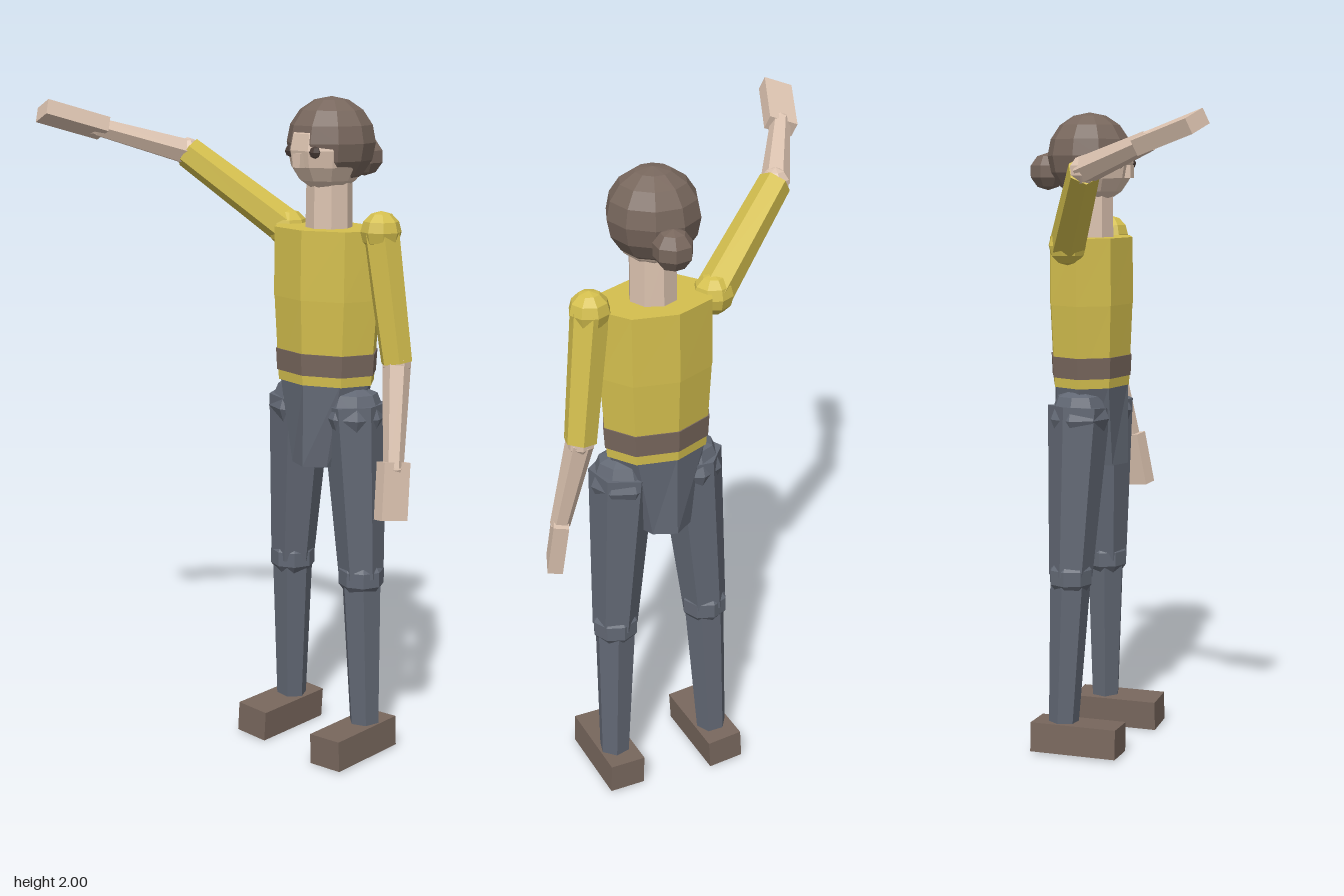
import * as THREE from 'three';

const mat = (color) => new THREE.MeshStandardMaterial({ color, flatShading: true });
const V = (x, y, z) => new THREE.Vector3(x, y, z);

export function createModel() {
  const model = new THREE.Group();
  const yellow = mat(0xd4bf4e), brown = mat(0x78675d), blue = mat(0x626874);
  const skin = mat(0xdcc3b0), dark = mat(0x4a3d38);

  const add = (name, geometry, material, pos, parent = model) => {
    const mesh = new THREE.Mesh(geometry, material);
    mesh.name = name;
    mesh.position.copy(pos);
    parent.add(mesh);
    return mesh;
  };
  const ball = (name, r, material, pos, parent, w = 8, h = 6) =>
    add(name, new THREE.SphereGeometry(r, w, h), material, pos, parent);

  // Tapered limb between two joints
  const limb = (name, a, b, ra, rb, material) => {
    const d = b.clone().sub(a);
    const mesh = add(name, new THREE.CylinderGeometry(rb, ra, d.length(), 6), material,
      a.clone().add(b).multiplyScalar(0.5));
    mesh.quaternion.setFromUnitVectors(V(0, 1, 0), d.normalize());
  };

  // Elliptical eight-sided body section, radii given at its top and bottom
  const section = (name, y0, y1, bottom, top, material) => {
    const g = new THREE.CylinderGeometry(1, 1, y1 - y0, 8);
    const p = g.attributes.position;
    for (let i = 0; i < p.count; i++) {
      const r = p.getY(i) > 0 ? top : bottom;
      p.setXYZ(i, p.getX(i) * r[0], p.getY(i), p.getZ(i) * r[1]);
    }
    g.computeVertexNormals();
    add(name, g, material, V(0.183, (y0 + y1) / 2, -0.167)).rotation.y = 0.07;
  };
  section('chest', 1.415, 1.62, [0.18, 0.135], [0.18, 0.133], yellow);
  section('waist', 1.16, 1.415, [0.162, 0.122], [0.179, 0.133], yellow);
  section('belt', 1.19, 1.255, [0.168, 0.127], [0.172, 0.13], brown);
  section('hips', 0.91, 1.165, [0.09, 0.118], [0.155, 0.118], blue);

  // Neck and head
  add('neck', new THREE.CylinderGeometry(0.068, 0.07, 0.18, 8), skin, V(0.188, 1.68, -0.165));
  const head = new THREE.Group();
  head.name = 'head';
  head.position.set(0.187, 1.86, -0.168);
  head.rotation.y = -0.09;
  model.add(head);
  ball('hair', 0.132, brown, V(0, 0.008, -0.003), head, 10, 8);
  ball('face', 0.125, skin, V(0, -0.012, 0.009), head, 10, 8).scale.x = 0.92;
  ball('hairBun', 0.058, brown, V(0, -0.04, -0.147), head, 7, 5);
  add('nose', new THREE.BoxGeometry(0.03, 0.04, 0.03), skin, V(0, -0.04, 0.124), head);
  for (const s of [-1, 1]) ball('eye', 0.018, dark, V(s * 0.05, -0.015, 0.112), head, 6, 4);

  // Flat hand lying along a line, with its width turned towards a given direction
  const hand = (name, a, b, across) => {
    const along = b.clone().sub(a);
    const len = along.length();
    along.normalize();
    const thick = across.clone().cross(along).normalize();
    const wide = along.clone().cross(thick);
    const mesh = add(name, new THREE.BoxGeometry(0.088, len, 0.045), skin,
      a.clone().add(b).multiplyScalar(0.5));
    mesh.quaternion.setFromRotationMatrix(new THREE.Matrix4().makeBasis(wide, along, thick));
  };

  // Arms: the right is raised forward and out, the left hangs
  const arms = [
    { side: 'left', shoulder: V(0.38, 1.62, -0.168), elbow: V(0.43, 1.24, -0.19),
      wrist: V(0.475, 0.94, -0.125), tip: V(0.488, 0.79, -0.1), across: V(-0.35, 0, 0.94) },
    { side: 'right', shoulder: V(0.012, 1.6, -0.185), elbow: V(-0.265, 1.825, -0.035),
      wrist: V(-0.415, 1.905, 0.2), tip: V(-0.485, 1.955, 0.355), across: V(0.83, 0.37, 0.42) },
  ];
  for (const { side, shoulder, elbow, wrist, tip, across } of arms) {
    ball(side + 'Shoulder', 0.06, yellow, shoulder);
    limb(side + 'UpperArm', shoulder, elbow, 0.056, 0.048, yellow);
    ball(side + 'Elbow', 0.044, skin, elbow, model, 7, 5);
    limb(side + 'Forearm', elbow, wrist, 0.042, 0.03, skin);
    ball(side + 'Wrist', 0.029, skin, wrist, model, 6, 4);
    hand(side + 'Hand', wrist.clone().lerp(tip, -0.12), tip, across);
  }

  // Legs and shoes
  const legs = [
    { side: 'left', hip: V(0.293, 1.1, -0.165), knee: V(0.328, 0.57, -0.168),
      ankle: V(0.345, 0.08, -0.175), tilt: 0.04 },
    { side: 'right', hip: V(0.078, 1.1, -0.172), knee: V(0.036, 0.57, -0.188),
      ankle: V(0.018, 0.08, -0.208), tilt: -0.06 },
  ];
  for (const { side, hip, knee, ankle, tilt } of legs) {
    ball(side + 'HipJoint', 0.098, blue, hip.clone().setY(1.065), model, 8, 4);
    limb(side + 'Thigh', hip, knee, 0.097, 0.068, blue);
    ball(side + 'Knee', 0.073, blue, knee, model, 8, 5);
    limb(side + 'Shin', knee, ankle, 0.064, 0.047, blue);
    add(side + 'Shoe', new THREE.BoxGeometry(0.112, 0.094, 0.28), brown,
      V(ankle.x - 0.003, 0.052, ankle.z + 0.049)).rotation.z = tilt;
  }
  return model;
}
